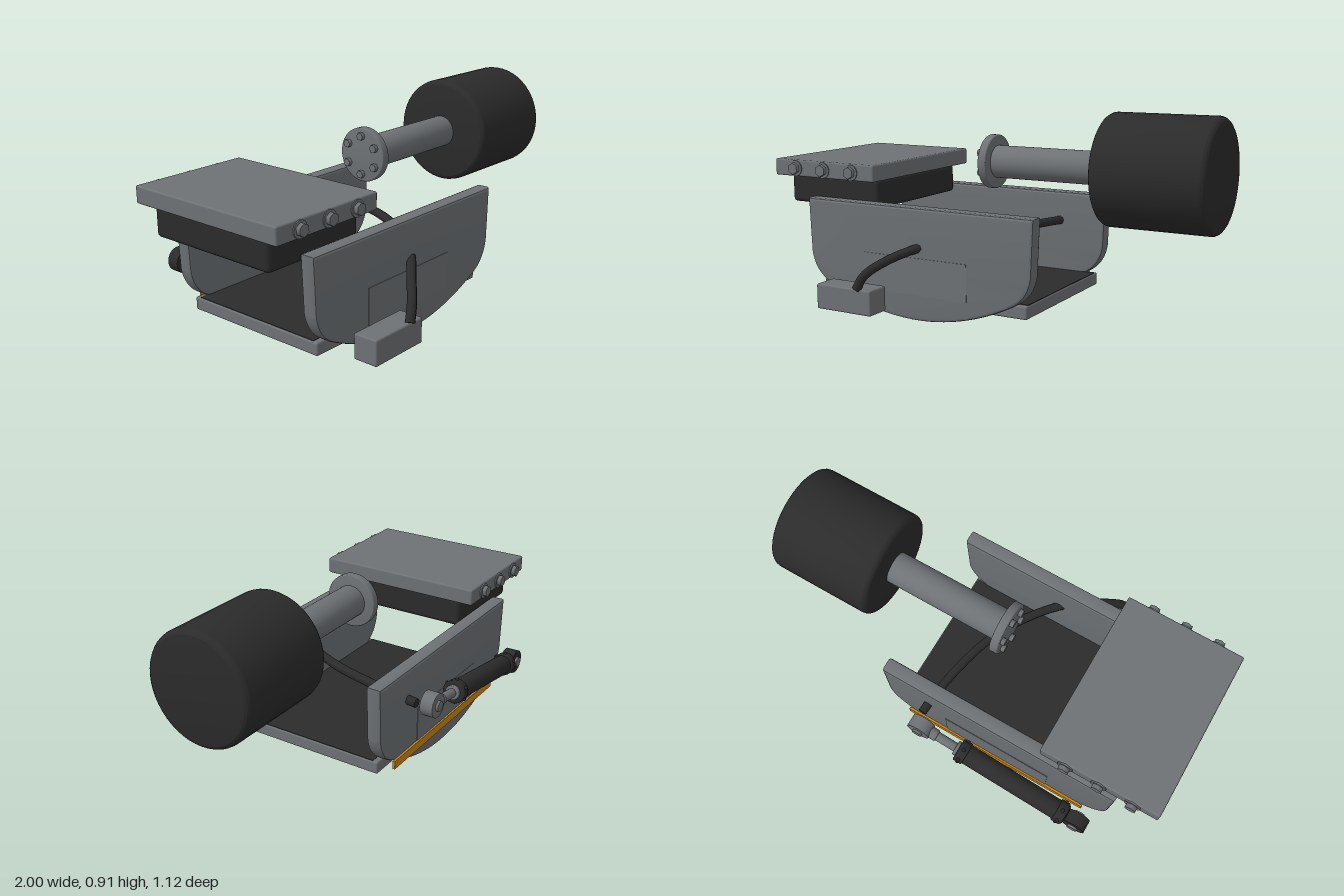
import * as THREE from 'three';
import { toCreasedNormals } from 'three/addons/utils/BufferGeometryUtils.js';
import { RoundedBoxGeometry } from 'three/addons/geometries/RoundedBoxGeometry.js';

const material = (name, color) => {
  const m = new THREE.MeshStandardMaterial({ color });
  m.name = name;
  return m;
};

export function createModel() {
  const steel = material('steel grey', 0x6e7275);
  const black = material('rubber black', 0x2b2b2b);
  const amber = material('amber strip', 0xc98517);
  const model = new THREE.Group();
  const ZC = -0.01; // middle plane of the frame

  const add = (name, geometry, mat, parent = model) => {
    const mesh = new THREE.Mesh(geometry, mat);
    mesh.name = name;
    parent.add(mesh);
    return mesh;
  };
  const group = (name, x = 0, y = 0, z = 0) => {
    const g = new THREE.Group();
    g.name = name;
    g.position.set(x, y, z);
    model.add(g);
    return g;
  };
  // box given by its limits on each axis
  const box = (name, x0, x1, y0, y1, z0, z1, mat, r = 0.008) =>
    add(name, new RoundedBoxGeometry(x1 - x0, y1 - y0, z1 - z0, 2, r), mat)
      .position.set((x0 + x1) / 2, (y0 + y1) / 2, (z0 + z1) / 2);
  // cylinder along x from x0 to x1 with softened rims
  const barX = (x0, x1, r, bevel = 0.005, sides = 40) => {
    const pts = [new THREE.Vector2(0, x0)];
    for (let i = 0; i <= 4; i++) {
      const a = (i / 4) * Math.PI / 2;
      pts.push(new THREE.Vector2(r - bevel + bevel * Math.sin(a), x0 + bevel - bevel * Math.cos(a)));
    }
    for (let i = 0; i <= 4; i++) {
      const a = (i / 4) * Math.PI / 2;
      pts.push(new THREE.Vector2(r - bevel + bevel * Math.cos(a), x1 - bevel + bevel * Math.sin(a)));
    }
    pts.push(new THREE.Vector2(0, x1));
    return toCreasedNormals(new THREE.LatheGeometry(pts, sides).rotateZ(-Math.PI / 2), 0.3);
  };
  const pinZ = (r, depth, sides = 24) => new THREE.CylinderGeometry(r, r, depth, sides).rotateX(Math.PI / 2);

  // curved side plates with a shallow panel on each outer face
  const bevel = 0.012;
  const h = 0.58 - bevel;
  const shape = new THREE.Shape();
  shape.moveTo(-h, 0.505 - bevel);
  shape.lineTo(-0.558, 0.26);
  shape.quadraticCurveTo(-0.545, 0.17, -0.462, 0.13);
  shape.quadraticCurveTo(-0.235, 0.005 + bevel, 0, 0.005 + bevel);
  shape.quadraticCurveTo(0.235, 0.005 + bevel, 0.462, 0.13);
  shape.quadraticCurveTo(0.545, 0.17, 0.558, 0.26);
  shape.lineTo(h, 0.505 - bevel);
  const plate = toCreasedNormals(new THREE.ExtrudeGeometry(shape, {
    depth: 0.07 - 2 * bevel, bevelEnabled: true, bevelSize: bevel, bevelThickness: bevel,
    bevelSegments: 2, curveSegments: 20,
  }).translate(0, 0, bevel - 0.035), 0.4);
  for (const s of [1, -1]) {
    const side = s > 0 ? 'front' : 'back';
    add(side + 'SidePlate', plate, steel).position.set(-0.233, 0, ZC + s * 0.36);
    add(side + 'AccessPanel', new THREE.BoxGeometry(0.53, 0.165, 0.004), steel)
      .position.set(-0.235, 0.2025, ZC + s * 0.3955);
  }

  // floor and its dark liner
  box('floor', -0.76, 0.297, 0.07, 0.128, -0.365, 0.345, steel);
  add('floorLiner', new THREE.BoxGeometry(1.045, 0.004, 0.66), black).position.set(-0.231, 0.128, ZC);

  // top plate on its dark block, with bolts along both edges
  box('topPlate', -1, -0.445, 0.598, 0.674, -0.404, 0.385, steel);
  box('topBlock', -0.97, -0.475, 0.465, 0.6, -0.33, 0.31, black, 0.02);
  for (const s of [1, -1]) {
    for (const x of [-0.88, -0.723, -0.566]) {
      const bolt = group('edgeBolt', x, 0.635, ZC + s * 0.396);
      add('washer', pinZ(0.036, 0.008), steel, bolt);
      add('hexHead', pinZ(0.027, 0.022, 6), steel, bolt).position.z = s * 0.012;
    }
  }

  // roller on its flanged shaft
  const roller = group('roller', 0, 0.675, ZC);
  add('drum', barX(0.505, 1, 0.244, 0.03, 48), black, roller);
  add('shaft', barX(-0.05, 0.52, 0.073), steel, roller);
  add('flange', barX(-0.078, -0.038, 0.121, 0.006), steel, roller);
  for (let i = 0; i < 6; i++) {
    const a = (i + 0.5) * Math.PI / 3;
    add('flangeBolt', new THREE.CylinderGeometry(0.018, 0.018, 0.02, 6).rotateZ(Math.PI / 2), steel, roller)
      .position.set(-0.086, 0.086 * Math.sin(a), 0.086 * Math.cos(a));
  }

  // junction box and cable running through the side plates
  box('junctionBox', -0.645, -0.355, 0.044, 0.157, 0.43, 0.546, steel);
  const path = new THREE.CatmullRomCurve3([
    [-0.43, 0.155, 0.54], [-0.4, 0.215, 0.525], [-0.32, 0.28, 0.46], [-0.2, 0.335, 0.36],
    [-0.07, 0.362, 0.2], [0.035, 0.374, 0], [0.09, 0.374, -0.2], [0.115, 0.367, -0.36], [0.122, 0.363, -0.45],
  ].map((p) => new THREE.Vector3(...p)));
  add('cable', new THREE.TubeGeometry(path, 48, 0.021, 8), black);
  [0, 1].forEach((t) => {
    const cap = add('cableEnd', new THREE.CircleGeometry(0.021, 8), black);
    const dir = path.getTangent(t).multiplyScalar(t ? 1 : -1);
    cap.position.copy(path.getPoint(t));
    cap.quaternion.setFromUnitVectors(new THREE.Vector3(0, 0, 1), dir);
  });

  // amber strip along the back plate
  box('amberStrip', -0.695, 0.235, 0.08, 0.12, -0.416, -0.404, amber, 0.002);

  // tilted cylinder and rod behind the back plate
  const ram = group('ram', -0.705, 0.245, -0.507);
  ram.rotation.z = Math.atan2(0.118, 0.797);
  const L = Math.hypot(0.118, 0.797);
  add('body', barX(0.05, 0.6, 0.046), black, ram);
  for (const x of [0.055, 0.565]) {
    add('collar', barX(x, x + 0.045, 0.053, 0.006), black, ram);
    for (let i = 0; i < 6; i++) {
      const a = i * Math.PI / 3;
      add('collarScrew', new THREE.SphereGeometry(0.009, 10, 8), black, ram)
        .position.set(x + 0.022, 0.052 * Math.cos(a), 0.052 * Math.sin(a));
    }
  }
  add('rodGland', barX(0.6, 0.625, 0.034), steel, ram);
  add('rod', barX(0.6, L - 0.03, 0.021), steel, ram);
  add('rodNeck', barX(L - 0.085, L - 0.035, 0.027), steel, ram);
  for (const [x, mat, name] of [[0, black, 'baseEye'], [L, steel, 'rodEye']]) {
    add(name, pinZ(0.055, 0.06, 32), mat, ram).position.x = x;
    add(name + 'Pin', pinZ(0.024, 0.082), steel, ram).position.x = x;
  }

  return model;
}
